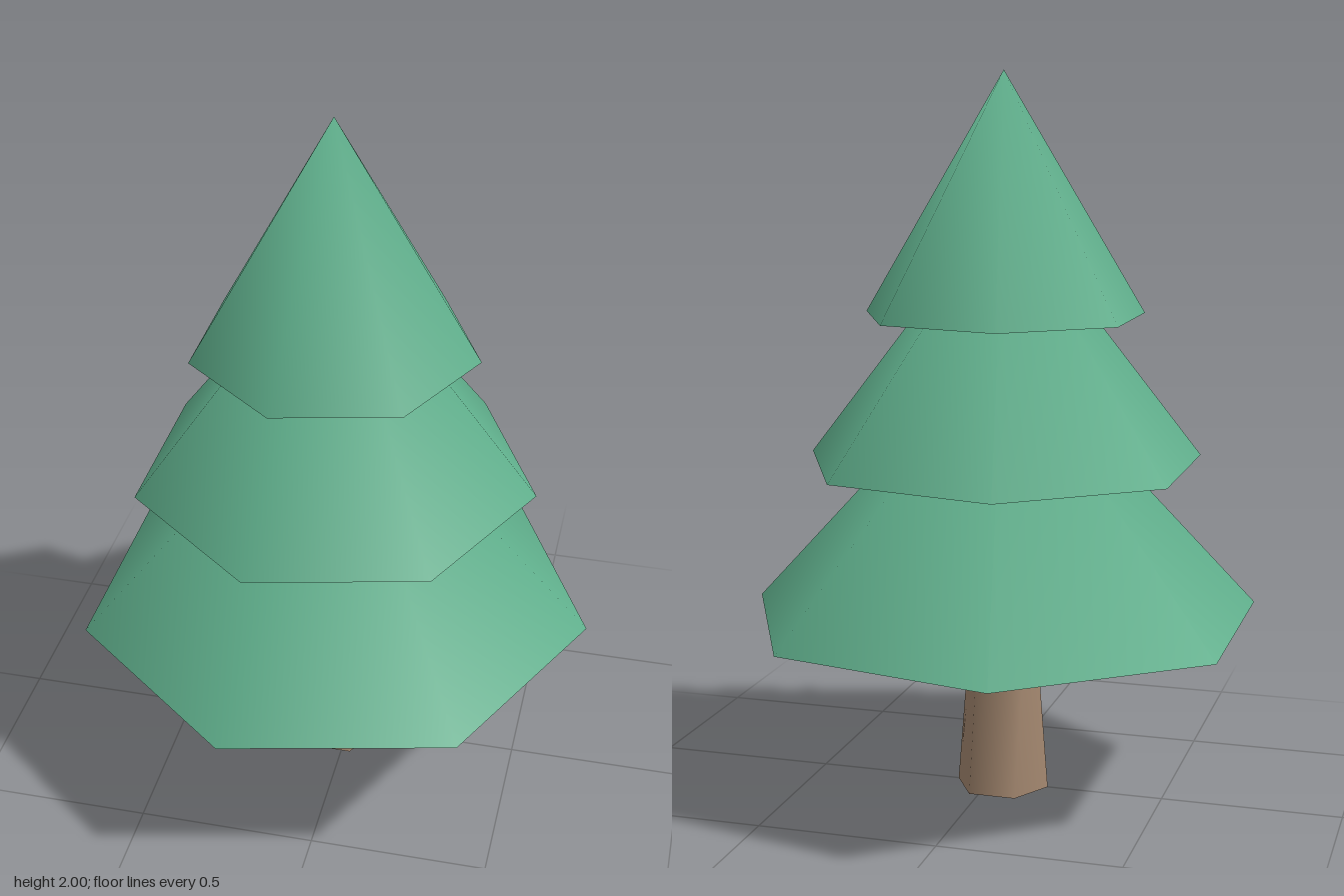
import * as THREE from 'three';
import { mergeVertices } from 'three/addons/utils/BufferGeometryUtils.js';

const CENTRE_X = -0.04;

// Open tapered tube with shared vertices, so the shading is smooth up to the tip
function taper(rTop, rBottom, y0, y1, sides) {
  const raw = new THREE.CylinderGeometry(rTop, rBottom, y1 - y0, sides, 1, true, Math.PI / 2);
  raw.deleteAttribute('uv');
  raw.deleteAttribute('normal');
  const geo = mergeVertices(raw, 1e-4);
  geo.computeVertexNormals();
  geo.translate(CENTRE_X, (y0 + y1) / 2, 0);
  return geo;
}

export function createModel() {
  const group = new THREE.Group();
  group.name = 'firTree';

  const needles = new THREE.MeshStandardMaterial({ color: 0x5fae8b, side: THREE.DoubleSide });
  needles.name = 'needleGreen';
  const bark = new THREE.MeshStandardMaterial({ color: 0xa3876f, side: THREE.DoubleSide });
  bark.name = 'barkBrown';

  // Six-sided trunk reaching into the lowest tier
  const trunk = new THREE.Mesh(taper(0.079, 0.132, 0, 0.67, 6), bark);
  trunk.name = 'trunk';
  group.add(trunk);

  // Seven-sided foliage cones: radius, rim height, tip height
  const tiers = [
    ['lowerFoliage', 0.731, 0.5, 1.29],
    ['middleFoliage', 0.564, 0.935, 1.66],
    ['upperFoliage', 0.397, 1.34, 2],
  ];
  for (const [name, radius, rim, tip] of tiers) {
    const tier = new THREE.Mesh(taper(0, radius, rim, tip, 7), needles);
    tier.name = name;
    group.add(tier);
  }
  return group;
}
